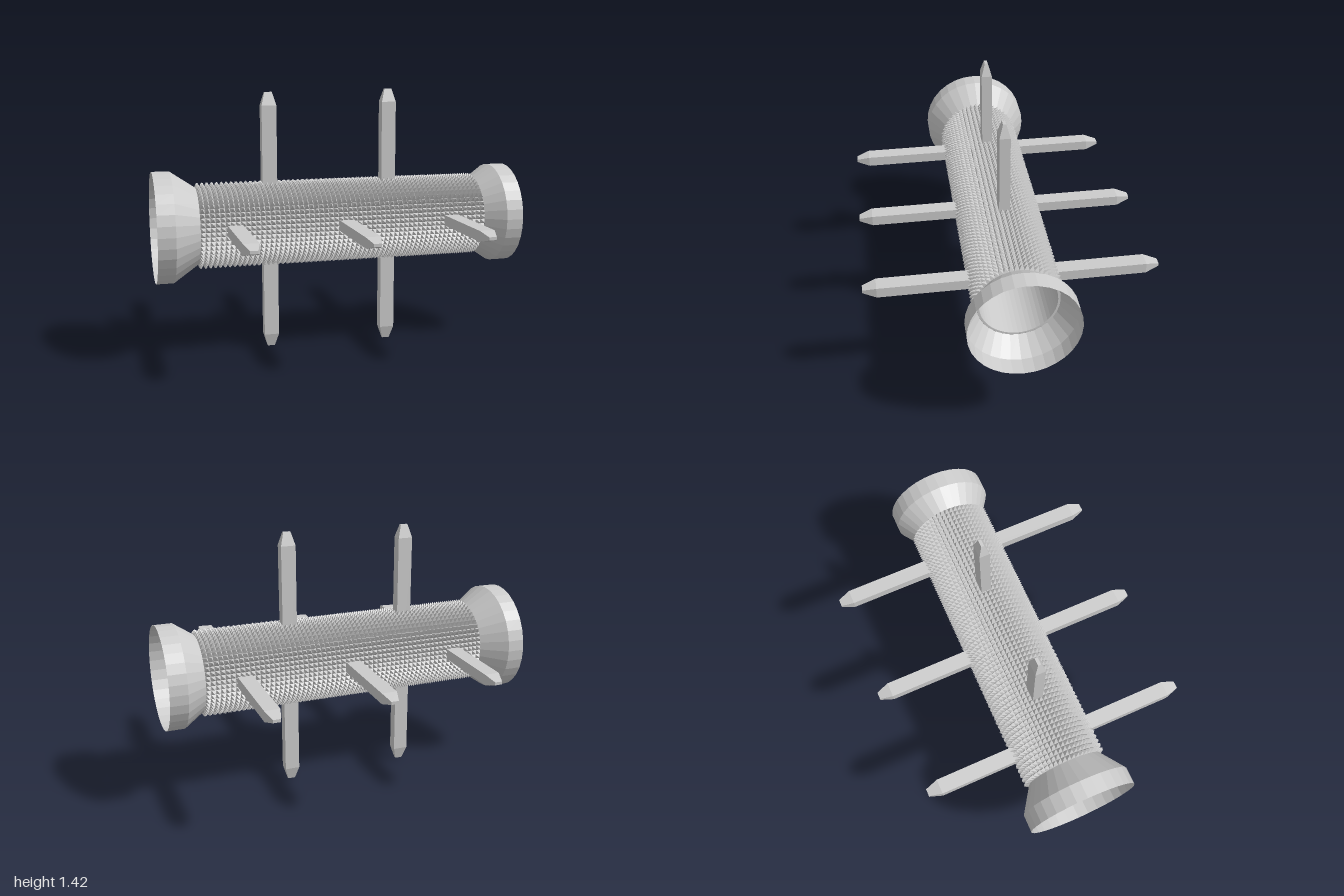
import * as THREE from 'three';

const AXIS_Y = 0.705;
const grey = new THREE.MeshStandardMaterial({ color: 0xcccccc, flatShading: true, side: THREE.DoubleSide });

// Revolve a profile of [x, radius] points around the x axis
function revolve(name, profile, sides) {
  const geo = new THREE.LatheGeometry(profile.map(([x, r]) => new THREE.Vector2(r, x)), sides);
  geo.rotateZ(-Math.PI / 2);
  const mesh = new THREE.Mesh(geo, grey);
  mesh.name = name;
  return mesh;
}

// Sleeve covered by a regular grid of small four-sided spikes
function studdedSleeve(x0, x1, base, peak, rows, columns) {
  const pos = [];
  const point = (i, j, r) => {
    const a = (j / columns) * Math.PI * 2;
    return [x0 + ((x1 - x0) * i) / rows, r * Math.cos(a), r * Math.sin(a)];
  };
  for (let i = 0; i < rows; i++) {
    for (let j = 0; j < columns; j++) {
      const tip = point(i + 0.5, j + 0.5, peak);
      const c = [[i, j], [i, j + 1], [i + 1, j + 1], [i + 1, j]].map(([u, v]) => point(u, v, base));
      for (let k = 0; k < 4; k++) pos.push(...c[(k + 1) % 4], ...c[k], ...tip);
    }
  }
  const geo = new THREE.BufferGeometry();
  geo.setAttribute('position', new THREE.Float32BufferAttribute(pos, 3));
  geo.computeVertexNormals();
  const mesh = new THREE.Mesh(geo, grey);
  mesh.name = 'studdedSleeve';
  return mesh;
}

// Rectangular bar along y with chamfered, blunt ends
function bar(name, from, to) {
  const w = 0.04, d = 0.028, tip = 0.07, inset = 0.02;
  const geo = new THREE.BoxGeometry(2 * w, to - from, 2 * d, 1, 3, 1);
  geo.translate(0, (from + to) / 2, 0);
  const p = geo.attributes.position;
  const mid = (from + to) / 2, half = (to - from) / 2;
  for (let i = 0; i < p.count; i++) {
    const y = p.getY(i) - mid;
    if (Math.abs(y) > half - 1e-4) {
      p.setX(i, Math.sign(p.getX(i)) * (w - inset));
      p.setZ(i, Math.sign(p.getZ(i)) * (d - inset));
    } else {
      p.setY(i, mid + Math.sign(y) * (half - tip));
    }
  }
  geo.computeVertexNormals();
  const mesh = new THREE.Mesh(geo, grey);
  mesh.name = name;
  return mesh;
}

export function createModel() {
  const model = new THREE.Group();
  model.name = 'spikedTube';

  // Hollow tube with its studded cover and a flared cup at each end
  const tube = new THREE.Group();
  tube.name = 'tube';
  tube.position.y = AXIS_Y;
  tube.add(
    revolve('tubeWall', [[-0.775, 0.195], [-0.775, 0.206], [0.8, 0.206], [0.8, 0.195], [-0.775, 0.195]], 52),
    studdedSleeve(-0.775, 0.8, 0.206, 0.232, 60, 52),
    revolve('rightCup', [[-1, 0.297], [-0.907, 0.297], [-0.775, 0.207]], 32),
    revolve('leftCup', [[0.8, 0.207], [0.905, 0.278], [1, 0.278]], 32)
  );
  model.add(tube);

  // Upright bars passing right through the tube
  for (const [x, from, to] of [[-0.377, 0.01, 1.41], [0.292, 0, 1.42]]) {
    const upright = bar('uprightBar', from, to);
    upright.position.x = x;
    model.add(upright);
  }

  // Level bars running front to back
  for (const [x, from, to] of [[-0.597, -0.71, 0.75], [0, -0.752, 0.75], [0.597, -0.752, 0.75]]) {
    const level = bar('levelBar', from, to);
    level.rotation.x = Math.PI / 2;
    level.position.set(x, 0.71, 0);
    model.add(level);
  }
  return model;
}
